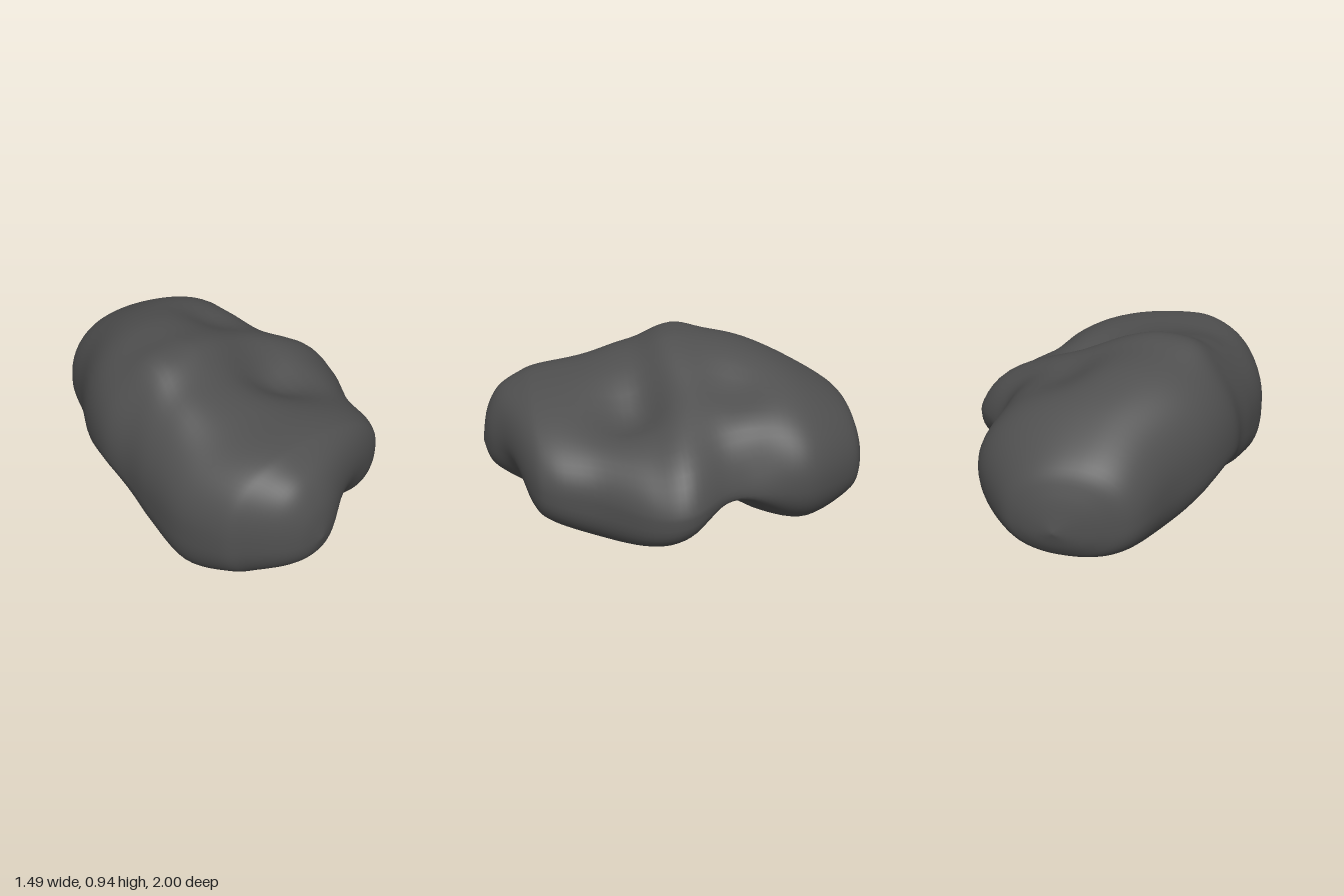
import * as THREE from 'three';

// Cross-sections from back to front: z, then the left-most, right-most, top and bottom points (x, y)
const SECTIONS = [
  [-1.00, 0.06, 0.32, 0.08, 0.32, 0.07, 0.33, 0.07, 0.31],
  [-0.96, -0.16, 0.34, 0.25, 0.34, 0.04, 0.51, 0.04, 0.20],
  [-0.88, -0.32, 0.35, 0.38, 0.36, 0.00, 0.65, 0.02, 0.12],
  [-0.64, -0.45, 0.40, 0.55, 0.40, -0.06, 0.80, 0.00, 0.035],
  [-0.40, -0.60, 0.44, 0.57, 0.40, -0.15, 0.89, -0.08, 0.07],
  [-0.18, -0.68, 0.44, 0.62, 0.38, -0.22, 0.92, -0.12, 0.13],
  [0.02, -0.69, 0.40, 0.74, 0.36, -0.22, 0.93, -0.16, 0.07],
  [0.20, -0.72, 0.37, 0.70, 0.34, -0.27, 0.83, -0.22, 0.03],
  [0.45, -0.745, 0.34, 0.53, 0.36, -0.28, 0.76, -0.38, 0.00],
  [0.68, -0.69, 0.33, 0.44, 0.38, -0.28, 0.735, -0.36, 0.06],
  [0.78, -0.62, 0.34, 0.32, 0.39, -0.28, 0.71, -0.34, 0.10],
  [0.90, -0.52, 0.35, -0.01, 0.37, -0.30, 0.64, -0.32, 0.17],
  [0.97, -0.42, 0.35, -0.17, 0.36, -0.30, 0.52, -0.30, 0.24],
  [1.00, -0.31, 0.35, -0.29, 0.35, -0.30, 0.36, -0.30, 0.34],
];

// Soft dents and bulges: centre, push, radius
const DENTS = [
  // hollow on top
  [[0.12, 0.76, 0.20], [0, -0.10, 0], 0.20],
  [[0.20, 0.67, 0.31], [0, -0.05, 0], 0.17],
  [[0.17, 0.78, -0.30], [-0.02, -0.06, 0], 0.17],
  // crease across the underside
  [[0.52, 0.14, -0.20], [-0.03, 0.13, 0], 0.18],
  [[0.15, 0.13, -0.17], [0, 0.10, 0], 0.17],
  [[-0.25, 0.13, -0.18], [0, 0.05, 0], 0.17],
  [[-0.52, 0.20, -0.18], [0.01, 0.06, 0], 0.15],
  // valley from the front back along the underside
  [[0.02, 0.18, 0.84], [0, 0.05, -0.08], 0.19],
  [[0.05, 0.06, 0.60], [0, 0.08, 0], 0.17],
  [[0.07, 0.05, 0.36], [0, 0.07, 0], 0.17],
  [[0.08, 0.06, 0.10], [0, 0.06, 0], 0.17],
  // side shoulders and ridge end
  [[0.55, 0.50, 0.04], [0.02, 0.02, 0], 0.18],
  [[0.53, 0.50, -0.33], [-0.03, -0.02, 0], 0.16],
  [[-0.44, 0.85, -0.06], [0, 0.04, 0], 0.13],
  [[-0.45, 0.72, 0.20], [0, 0.03, 0], 0.16],
];

// Quarter-round blend: power 2 is an ellipse, less is flatter, more is squarer
const blend = (v, power) => Math.pow(Math.abs(v), 2 / power);
const bell = (z, centre, width) => Math.exp(-(((z - centre) / width) ** 2));

function rockPoint(section, angle) {
  const [z, lx, ly, rx, ry, tx, ty, bx, by] = section;
  const c = Math.cos(angle), s = Math.sin(angle);
  const [sideX, sideY] = c >= 0 ? [rx, ry] : [lx, ly];
  const [midX, midY] = s >= 0 ? [tx, ty] : [bx, by];
  // the right shoulder slopes in the middle, the base is squarer towards the front
  let power = 2.3 + 0.7 * bell(z, 0.35, 0.42);
  if (s >= 0) power = c >= 0 ? 2.1 - 0.6 * bell(z, 0.02, 0.3) : 2.3 - 0.3 * bell(z, 0, 0.3);
  const p = new THREE.Vector3(
    midX + (sideX - midX) * blend(c, power),
    sideY + (midY - sideY) * blend(s, power), z);
  const out = p.clone();
  for (const [centre, push, radius] of DENTS) {
    const d = p.distanceTo(new THREE.Vector3(...centre)) / radius;
    out.addScaledVector(new THREE.Vector3(...push), Math.exp(-d * d));
  }
  return out;
}

// Smooth in-between cross-section, t from 0 (back) to 1 (front)
function sectionAt(t) {
  const last = SECTIONS.length - 1;
  const f = t * last, i = Math.min(Math.floor(f), last - 1), u = f - i;
  const row = k => SECTIONS[Math.min(Math.max(k, 0), last)];
  return SECTIONS[0].map((_, j) => {
    const [a, b, c, d] = [row(i - 1)[j], row(i)[j], row(i + 1)[j], row(i + 2)[j]];
    return b + 0.5 * u * (c - a + u * (2 * a - 5 * b + 4 * c - d + u * (3 * (b - c) + d - a)));
  });
}

export function createModel() {
  const rings = 78, sides = 72;
  const positions = [], index = [];
  for (let i = 0; i <= rings; i++) {
    const section = sectionAt(i / rings);
    for (let j = 0; j < sides; j++) {
      positions.push(...rockPoint(section, (j / sides) * Math.PI * 2).toArray());
    }
  }
  for (let i = 0; i < rings; i++) {
    for (let j = 0; j < sides; j++) {
      const k = (j + 1) % sides;
      const a = i * sides + j, b = i * sides + k;
      index.push(a, b, b + sides, a, b + sides, a + sides);
    }
  }
  // close the two small end rings
  const front = rings * sides;
  for (let j = 1; j < sides - 1; j++) {
    index.push(0, j + 1, j, front, front + j, front + j + 1);
  }
  const geometry = new THREE.BufferGeometry();
  geometry.setAttribute('position', new THREE.Float32BufferAttribute(positions, 3));
  geometry.setIndex(index);
  geometry.computeVertexNormals();

  const rock = new THREE.Mesh(geometry, new THREE.MeshStandardMaterial({ color: 0x505050 }));
  rock.name = 'rock';
  const group = new THREE.Group();
  group.name = 'boulder';
  group.add(rock);
  return group;
}
